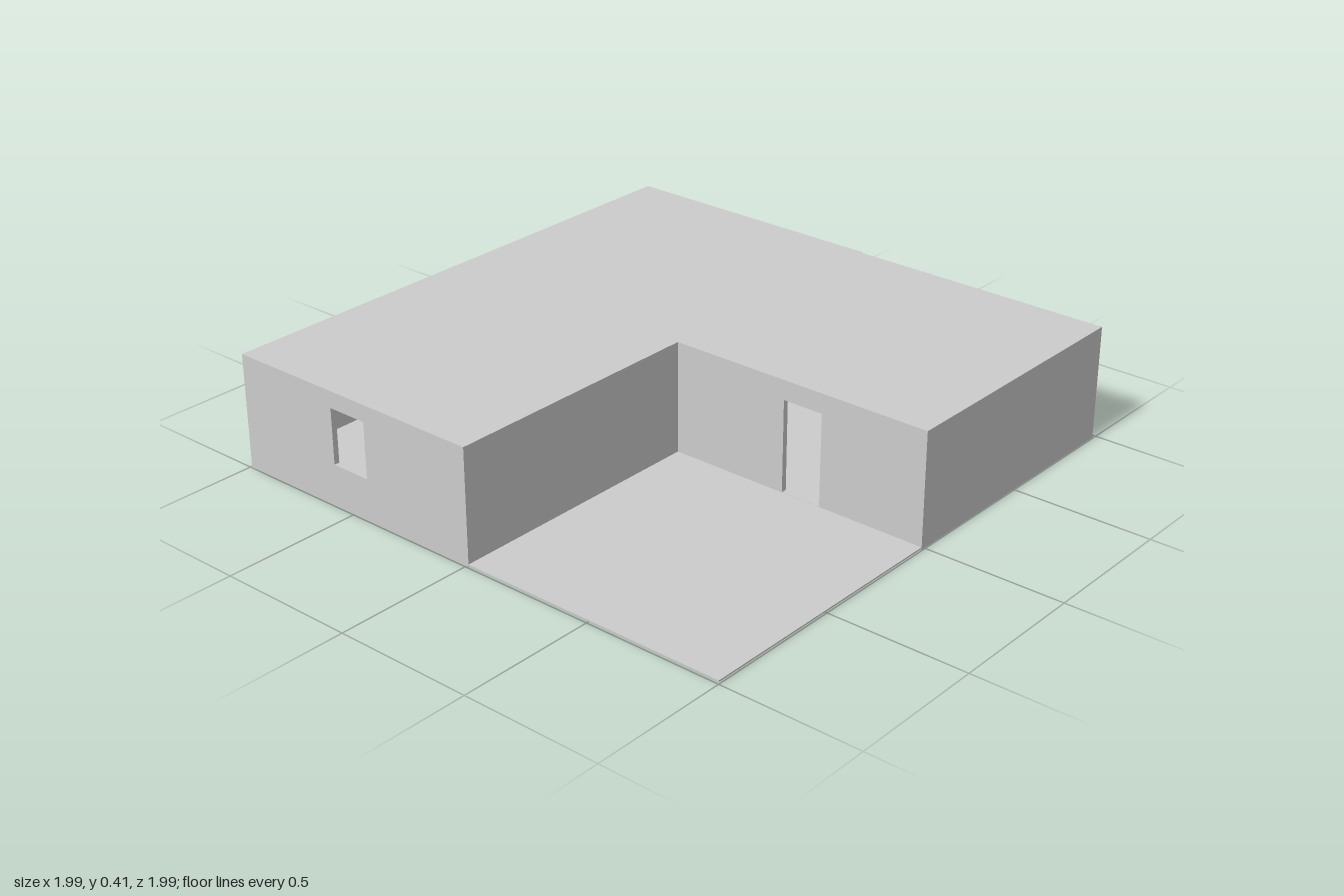
import * as THREE from 'three';

const mat = new THREE.MeshStandardMaterial({ color: 0xcccccc, flatShading: true });
const WALL_TOP = 0.4, ROOF_TOP = 0.41, T = 0.02;
const X0 = -0.995, X1 = 0.99, Z0 = -0.997, Z1 = 0.997;

function polygon(points) {
  return new THREE.Shape(points.map(([x, y]) => new THREE.Vector2(x, y)));
}

function rect(a, b, low, high) {
  return [[a, low], [b, low], [b, high], [a, high]];
}

function extrude(name, shape, depth) {
  const geometry = new THREE.ExtrudeGeometry(shape, { depth, bevelEnabled: false });
  const mesh = new THREE.Mesh(geometry, mat);
  mesh.name = name;
  return mesh;
}

// Upright wall from a to b along its axis; openings are [from, to, bottom, top]
function wall(name, axis, a, b, offset, openings = []) {
  const shape = polygon(rect(a, b, 0, WALL_TOP));
  for (const o of openings) shape.holes.push(polygon(rect(...o)));
  const mesh = extrude(name, shape, T);
  if (axis === 'z') {
    mesh.rotation.y = -Math.PI / 2;
    mesh.position.x = offset + T;
  } else {
    mesh.position.z = offset;
  }
  return mesh;
}

export function createModel() {
  const house = new THREE.Group();
  house.name = 'house';

  // Floor slab, including the open patio in the notch
  const floor = new THREE.Mesh(new THREE.BoxGeometry(X1 - X0, 0.005, Z1 - Z0), mat);
  floor.name = 'floor';
  floor.position.set((X0 + X1) / 2, 0.0065, 0);
  house.add(floor);

  // Outer walls
  house.add(
    wall('backWall', 'x', X0, X1, Z0, [[0.39, 0.59, 0.14, 0.35]]),
    wall('leftWingEndWall', 'z', Z0 + T, 0.01, X0, [[-0.58, -0.43, 0.15, 0.35]]),
    wall('rearSideWall', 'z', Z0 + T, 0.01, X1 - T),
    wall('frontSideWall', 'z', 0.01, Z1, X1 - T - 0.006, [[0.5, 0.65, 0.15, 0.35]]),
    wall('frontWall', 'x', 0.005, X1 - T - 0.006, Z1 - T),
  );

  // Walls facing the patio, one with a doorway
  house.add(
    wall('patioRearWall', 'x', X0 + T, -0.015, -0.01),
    wall('patioSideWall', 'z', 0.01, Z1, -0.015, [[0.45, 0.6, 0.01, 0.34]]),
  );

  // Room dividers with doorways
  house.add(
    wall('rearDivider', 'z', Z0 + T, 0.01, -0.015, [[-0.58, -0.43, 0.01, 0.34]]),
    wall('frontDivider', 'x', 0.005, X1 - T, -0.01, [[0.42, 0.57, 0.01, 0.34]]),
  );

  // Flat L-shaped roof
  const outline = polygon([
    [X0, Z0], [X1, Z0], [X1, 0.01], [X1 - 0.006, 0.01],
    [X1 - 0.006, Z1], [-0.015, Z1], [-0.015, 0.01], [X0, 0.01],
  ]);
  const roof = extrude('roof', outline, ROOF_TOP - WALL_TOP);
  roof.rotation.x = Math.PI / 2;
  roof.position.y = ROOF_TOP;
  house.add(roof);

  return house;
}
